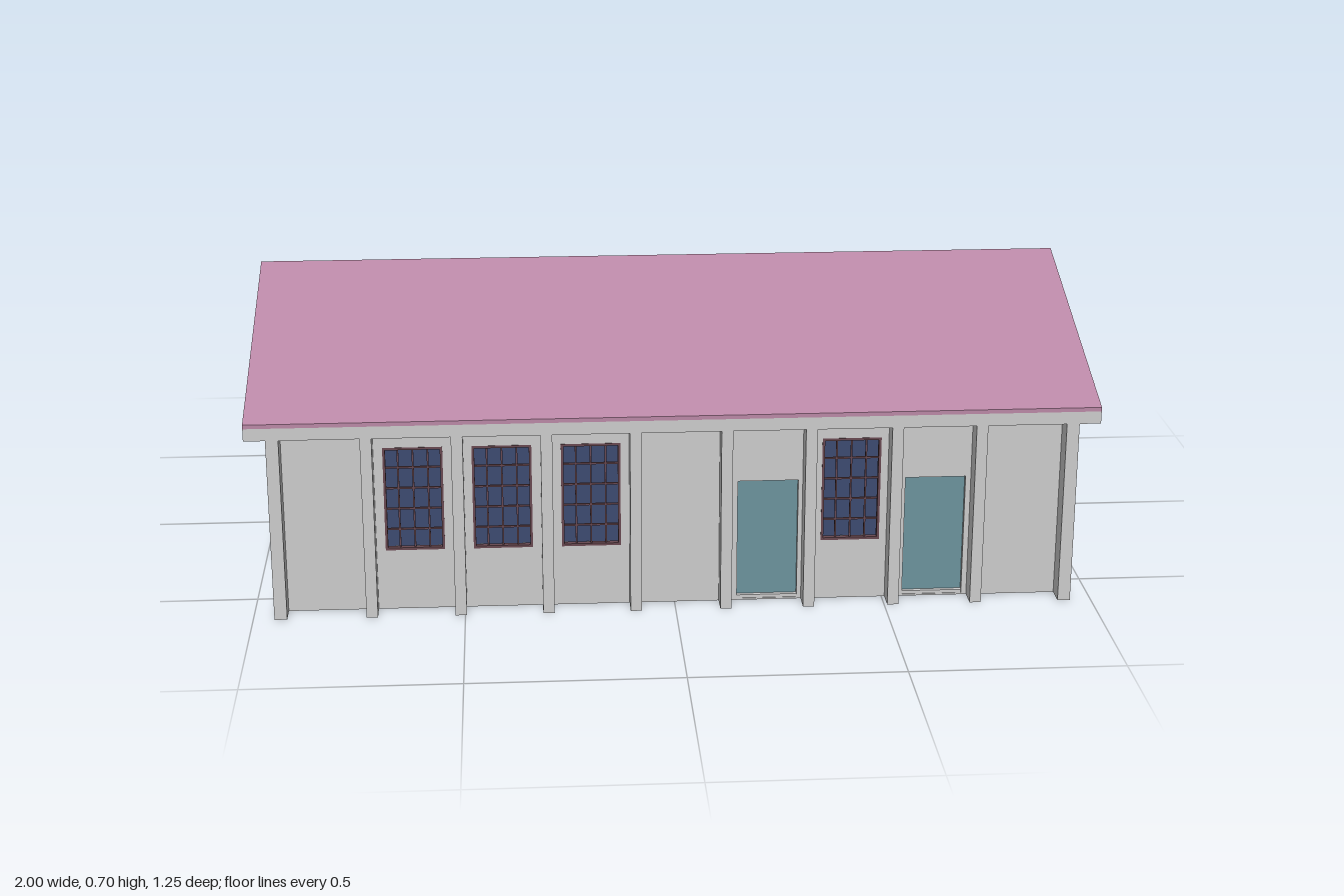
import * as THREE from 'three';

const mat = (color) => new THREE.MeshStandardMaterial({ color, flatShading: true });
const GREY = mat(0xcccccc), ROOF = mat(0xba88a6), GLASS = mat(0x3c4a70), DOOR = mat(0x6b929c), BAR = mat(0x684850);

const WALL_H = 0.45, T = 0.03, HALF_X = 0.95, HALF_Z = 0.625, WALL_Z = 0.575;

function box(parent, name, m, x0, x1, y0, y1, z0, z1) {
  const mesh = new THREE.Mesh(new THREE.BoxGeometry(x1 - x0, y1 - y0, z1 - z0), m);
  mesh.position.set((x0 + x1) / 2, (y0 + y1) / 2, (z0 + z1) / 2);
  mesh.name = name;
  parent.add(mesh);
  return mesh;
}

function polygon(points) {
  return points.map(([x, y]) => new THREE.Vector2(x, y));
}

// Outward-opening frame with a lattice of thin bars
function grille(parent, x0, x1, y0, y1) {
  const g = new THREE.Group();
  g.name = 'windowGrille';
  parent.add(g);
  const f = 0.006, b = 0.002, z0 = -0.012, z1 = -0.002;
  box(g, 'frameLeft', BAR, x0, x0 + f, y0, y1, z0, z1 + 0.003);
  box(g, 'frameRight', BAR, x1 - f, x1, y0, y1, z0, z1 + 0.003);
  box(g, 'frameBottom', BAR, x0, x1, y0, y0 + f, z0, z1 + 0.003);
  box(g, 'frameTop', BAR, x0, x1, y1 - f, y1, z0, z1 + 0.003);
  for (let i = 1; i < 4; i++) {
    const x = x0 + (x1 - x0) * i / 4;
    box(g, 'verticalBar', BAR, x - b, x + b, y0, y1, z0 + 0.003, z1 - 0.002);
  }
  for (let i = 1; i < 5; i++) {
    const y = y0 + (y1 - y0) * i / 5;
    box(g, 'horizontalBar', BAR, x0, x1, y - b, y + b, z0 + 0.003, z1 - 0.002);
  }
}

// Wall in local space: outer face at z = 0, facing +z
function wall(name, halfWidth, openings) {
  const g = new THREE.Group();
  g.name = name;
  const shape = new THREE.Shape(polygon([[-halfWidth, 0], [halfWidth, 0], [halfWidth, WALL_H], [-halfWidth, WALL_H]]));
  for (const { x, w, y0, y1, door, bars } of openings) {
    const a = x - w / 2, b = x + w / 2;
    shape.holes.push(new THREE.Path(polygon([[a, y0], [a, y1], [b, y1], [b, y0]])));
    if (door) box(g, 'door', DOOR, a, b, y0, y1, -T, -0.012);
    else box(g, 'windowPane', GLASS, a, b, y0, y1, -T - 0.005, -T + 0.003);
    if (bars) grille(g, a, b, y0, y1);
  }
  const geo = new THREE.ExtrudeGeometry(shape, { depth: T, bevelEnabled: false });
  geo.translate(0, 0, -T);
  const panel = new THREE.Mesh(geo, GREY);
  panel.name = 'wallPanel';
  g.add(panel);
  return g;
}

const win = (x, bars = true, w = 0.14) => ({ x, w, y0: 0.15, y1: 0.408, bars });
const door = (x) => ({ x, w: 0.144, y0: 0.004, y1: 0.305, door: true });

export function createModel() {
  const house = new THREE.Group();
  house.name = 'house';

  // Long walls with their rows of pilasters
  const columns = [-0.72, -0.51, -0.302, -0.094, 0.12, 0.318, 0.521, 0.72];
  const longWalls = [
    wall('frontWall', HALF_X - T, [win(-0.615), win(-0.407), win(-0.198), win(0.42), door(0.222), door(0.622)]),
    wall('backWall', HALF_X - T, [win(-0.62, false), win(-0.42), door(-0.22), door(-0.015), win(0.205), win(0.41), win(0.617)]),
  ];
  longWalls.forEach((w, i) => {
    for (const x of columns) box(w, 'column', GREY, x - 0.0135, x + 0.0135, 0, WALL_H, -0.005, HALF_Z - WALL_Z);
    w.position.z = i ? -WALL_Z : WALL_Z;
    w.rotation.y = i ? Math.PI : 0;
    house.add(w);
  });

  // End walls run the full depth and close the corners
  for (const side of [1, -1]) {
    const w = wall(side > 0 ? 'leftWall' : 'rightWall', HALF_Z, [-0.36, 0, 0.36].map((x) => win(x, side < 0, 0.18)));
    w.position.x = side * HALF_X;
    w.rotation.y = side * Math.PI / 2;
    house.add(w);
  }

  // Floor slab, reaching out under the back columns only
  box(house, 'floor', GREY, -HALF_X + 0.001, HALF_X - 0.001, 0, 0.012, -HALF_Z, WALL_Z - 0.002);

  // Gabled block and roof covering, extruded along x
  const along = (name, points, m) => {
    const geo = new THREE.ExtrudeGeometry(new THREE.Shape(polygon(points)), { depth: 2, bevelEnabled: false });
    geo.translate(0, 0, -1);
    geo.rotateY(Math.PI / 2);
    const mesh = new THREE.Mesh(geo, m);
    mesh.name = name;
    house.add(mesh);
  };
  const E = 0.627;
  along('gable', [[-E, WALL_H], [E, WALL_H], [E, 0.48], [0, 0.692], [-E, 0.48]], GREY);
  along('roof', [[-E, 0.48], [0, 0.692], [E, 0.48], [E, 0.49], [0, 0.702], [-E, 0.49]], ROOF);

  return house;
}
